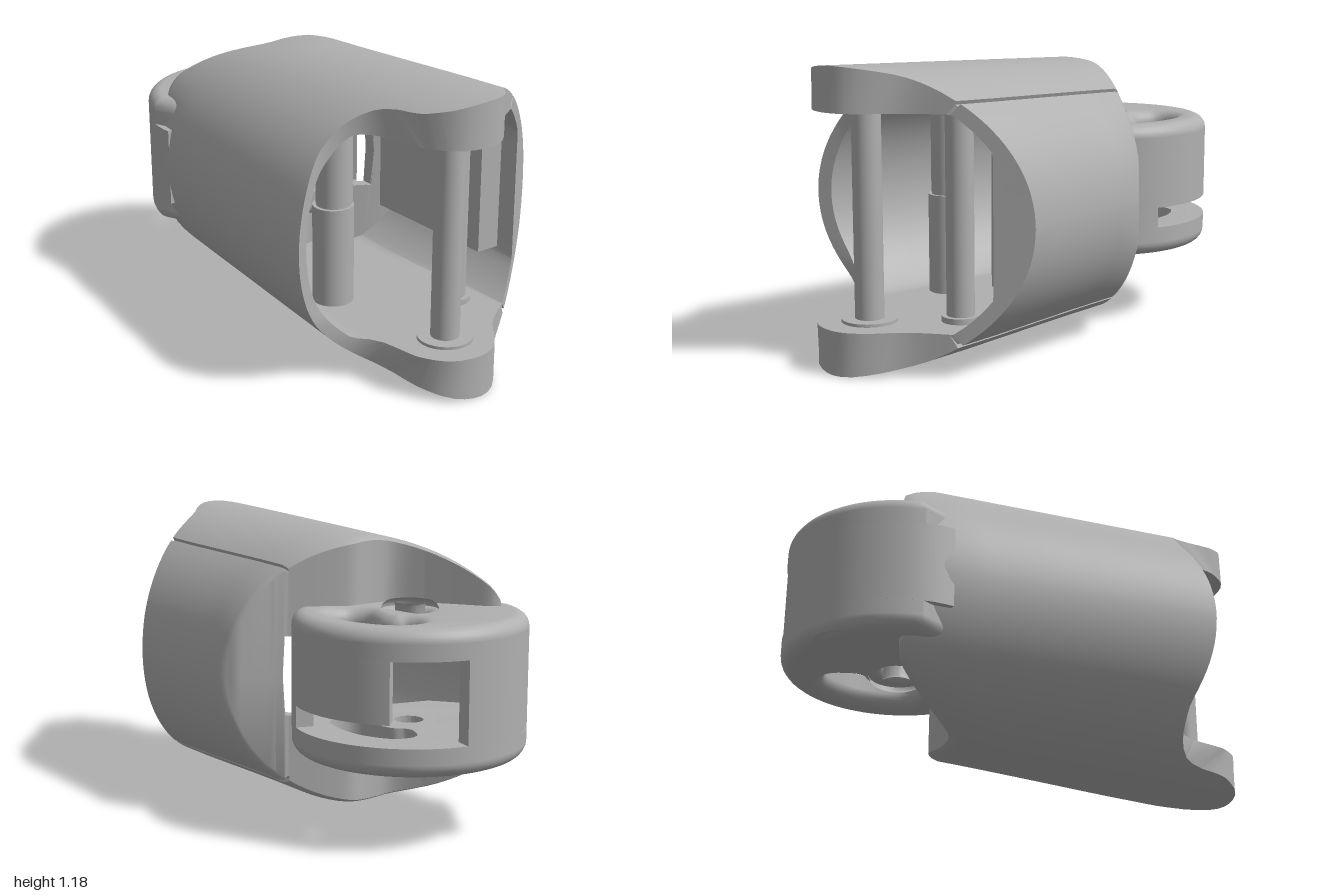
import * as THREE from 'three';
import { toCreasedNormals } from 'three/addons/utils/BufferGeometryUtils.js';

const grey = new THREE.MeshStandardMaterial({ color: 0xb0b0b0 });
grey.name = 'grey';

const MID = 0.595;                 // height of the housing axis
const HUB = { x: -0.04, z: -0.53 }; // knuckle pivot
const { clamp, lerp } = THREE.MathUtils;
const pts = list => list.map(([x, z]) => new THREE.Vector2(x, z));

// Piecewise linear lookup of z at x along a plan outline
function lookup(line, x) {
  if (x <= line[0].x) return line[0].y;
  for (let i = 1; i < line.length; i++) {
    const a = line[i - 1], b = line[i];
    if (x <= b.x) return lerp(a.y, b.y, (x - a.x) / Math.max(b.x - a.x, 1e-6));
  }
  return line[line.length - 1].y;
}

// Plan outlines that trim the tube at its front (with ear) and back
const frontLine = new THREE.SplineCurve(pts([[-0.6, 0.62], [-0.5, 0.57], [-0.45, 0.56], [-0.36, 0.585],
  [-0.28, 0.65], [-0.247, 0.74], [-0.24, 0.8], [-0.22, 0.88], [-0.15, 0.97], [-0.04, 1], [0.05, 0.975],
  [0.12, 0.91], [0.18, 0.83], [0.25, 0.77], [0.37, 0.69], [0.6, 0.53]])).getPoints(120);
const backLine = pts([[-0.53, -0.6], [-0.42, -0.66], [-0.38, -0.64], [-0.2, -0.42], [-0.13, -0.345],
  [-0.08, -0.32], [0, -0.32], [0.1, -0.335], [0.2, -0.29], [0.34, -0.22], [0.38, -0.2], [0.53, -0.14], [0.56, -0.11]]);

const radiusX = (c, z) => c > 0 ? 0.56 + 0.075 * clamp(z, 0, 0.55) : 0.545 + 0.085 * Math.min(z, 0.62);
const radiusY = z => 0.555 + 0.035 * z;

// Hollow tube: one closed lengthwise section per angle, joined all the way round
function housingGeometry() {
  const angles = [];
  for (let i = 0; i < 48; i++) angles.push(Math.PI * (i + 0.5) / 48);
  for (let x = -0.265; x < -0.19; x += 0.005) angles.push(Math.acos(x / 0.6));
  for (const x of [0.357, 0.36, 0.369, 0.372]) angles.push(Math.acos(x / 0.6)); // panel seam
  const half = [0, ...angles.sort((a, b) => a - b), Math.PI];
  const all = [...half, ...half.slice(1, -1).reverse().map(a => 2 * Math.PI - a)];
  const steps = [[0, 0.972], [0.012, 0.988], [0.035, 1], [0.2, 1], [0.4, 1], [0.6, 1], [0.8, 1], [1, 1]];

  const columns = all.map(a => {
    const c = Math.cos(a), s = Math.abs(Math.sin(a)) < 1e-6 ? 0 : Math.sin(a);
    const seam = c * 0.6 > 0.3595 && c * 0.6 < 0.3695 ? 0.975 : 1;
    const xb = c * (c > 0 ? 0.56 : 0.525), zb = lookup(backLine, xb), zf = lookup(frontLine, c * 0.6);
    const outer = steps.map(([t, k]) => {
      const z = lerp(zb, zf, t), m = k * seam;
      return [c * radiusX(c, z) * m, MID + s * radiusY(z) * m, z];
    });
    const inX = z => Math.min(c * (radiusX(c, z) - 0.05), 0.47);
    const zf2 = lookup(frontLine, inX(0.6)), zb2 = lookup(backLine, inX(zb)) + 0.06;
    const inner = [1, 0.75, 0.5, 0.25, 0].map(t => {
      const z = lerp(zb2, zf2, t);
      return [inX(z), MID + clamp(s * (radiusY(z) - 0.05), -0.415, 0.415), z];
    });
    // bulkhead that closes the back above and below the knuckle slot
    const [bx, by] = outer[0];
    const lip = bx > 0.34 ? 0 : Math.sign(s) * Math.min(0.16, Math.abs(by - MID) * 0.6);
    return [[bx, MID + lip, zb + 0.06], [bx, MID + lip, zb], ...outer, ...inner];
  });

  const n = columns[0].length, index = [];
  columns.forEach((_, i) => {
    const k = (i + 1) % columns.length;
    for (let j = 0; j < n; j++) {
      const m = (j + 1) % n;
      const a = i * n + j, b = k * n + j, d = k * n + m, e = i * n + m;
      index.push(a, b, d, a, d, e);
    }
  });
  const geo = new THREE.BufferGeometry();
  geo.setAttribute('position', new THREE.Float32BufferAttribute(columns.flat(2), 3));
  geo.setIndex(index);
  return toCreasedNormals(geo, 0.55);
}

// Extrudes a plan shape (drawn as x, -z) upward from y0 to y1
function slab(shape, y0, y1, bevel = 0) {
  const geo = new THREE.ExtrudeGeometry(shape, {
    depth: Math.max(y1 - y0 - 2 * bevel, 0.001), curveSegments: 40, bevelEnabled: bevel > 0,
    bevelThickness: bevel, bevelSize: bevel, bevelOffset: -bevel, bevelSegments: 6,
  });
  geo.translate(0, 0, bevel);
  geo.rotateX(-Math.PI / 2);
  geo.translate(0, y0, 0);
  return toCreasedNormals(geo, 0.6);
}

const rad = THREE.MathUtils.degToRad;
const onRim = (r, deg) => new THREE.Vector2(HUB.x + r * Math.cos(rad(deg)), -HUB.z + r * Math.sin(rad(deg)));

function circleHole(x, z, r) {
  return new THREE.Path().absarc(x, -z, r, 0, Math.PI * 2, true);
}

// Knuckle plate outline with pivot hole and kidney slot
function plateShape(extraHole) {
  const outline = [];
  for (let d = -38; d <= 171; d += 4) outline.push(onRim(0.46, d));
  outline.push(...[[-0.43, -0.46], [-0.3, -0.31], [-0.1, -0.27], [0.28, -0.2]].map(([x, z]) => new THREE.Vector2(x, -z)));
  const shape = new THREE.Shape(outline);
  const kidney = new THREE.SplineCurve([[0.05, -0.68], [0.08, -0.75], [0.13, -0.77], [0.2, -0.74], [0.255, -0.64],
    [0.27, -0.53], [0.25, -0.41], [0.2, -0.365], [0.13, -0.37], [0.09, -0.42], [0.1, -0.48], [0.112, -0.55],
    [0.095, -0.615], [0.06, -0.645], [0.05, -0.68]].map(([x, z]) => new THREE.Vector2(x, -z)));
  shape.holes.push(circleHole(HUB.x, HUB.z, 0.058), new THREE.Path(kidney.getPoints(56)));
  if (extraHole) shape.holes.push(circleHole(-0.245, -0.84, 0.045));
  return shape;
}

// Section of the knuckle's curved outer wall
function rimShape(from, to) {
  const out = [], inn = [], n = Math.ceil((to - from) / 4);
  for (let i = 0; i <= n; i++) {
    const d = lerp(from, to, i / n);
    out.push(onRim(0.46, d));
    inn.unshift(onRim(0.39, d));
  }
  return new THREE.Shape([...out, ...inn]);
}

export function createModel() {
  const model = new THREE.Group();
  model.name = 'jointSegment';
  const add = (name, geo, x = 0, y = 0, z = 0, parent = model) => {
    const mesh = new THREE.Mesh(geo, grey);
    mesh.name = name;
    mesh.position.set(x, y, z);
    parent.add(mesh);
    return mesh;
  };
  const rod = (name, x, z, r, y0, y1) =>
    add(name, new THREE.CylinderGeometry(r, r, y1 - y0, 40), x, (y0 + y1) / 2, z);

  add('housing', housingGeometry());
  add('sidePanelBacking', new THREE.BoxGeometry(0.11, 0.51, 0.66), 0.42, MID, 0.2);

  // Knuckle: two rounded plates joined by a partly open rim
  const knuckle = new THREE.Group();
  knuckle.name = 'knuckle';
  model.add(knuckle);
  const part = (name, geo) => add(name, geo, 0, 0, 0, knuckle);
  const upper = plateShape(false), lower = plateShape(true);
  part('upperPlate', slab(upper, 0.755, 0.873, 0.055));
  part('upperPlateBase', slab(upper, 0.755, 0.815));
  part('lowerPlate', slab(lower, 0.317, 0.435, 0.055));
  part('lowerPlateBase', slab(lower, 0.375, 0.435));
  part('rimLeftWall', slab(rimShape(82, 185), 0.43, 0.76));
  part('rimRightWall', slab(rimShape(-38, 45), 0.52, 0.76));
  part('rimRightFoot', slab(rimShape(-38, -16), 0.43, 0.525));

  // Raised collars round the pivot hole
  const collar = pts([[0.058, -0.1], [0.058, 0.025], [0.066, 0.035], [0.09, 0.035], [0.105, 0.025], [0.113, 0.008],
    [0.113, -0.1], [0.058, -0.1]]);
  const collarGeo = toCreasedNormals(new THREE.LatheGeometry(collar, 48), 0.7);
  add('upperCollar', collarGeo, HUB.x, 0.87, HUB.z, knuckle);
  add('lowerCollar', collarGeo, HUB.x, 0.32, HUB.z, knuckle).rotation.x = Math.PI;

  // Cross pins between the ears, with washers
  rod('frontPin', -0.04, 0.8, 0.057, 0.17, 1.02);
  rod('frontPinWasher', -0.04, 0.8, 0.11, 0.17, 0.192);
  rod('frontPinUpperWasher', -0.04, 0.8, 0.11, 1.0, 1.02);
  rod('rearPin', 0.21, 0.55, 0.055, 0.17, 1.02);
  rod('rearPinLowerWasher', 0.21, 0.55, 0.075, 0.17, 0.203);
  rod('rearPinUpperWasher', 0.21, 0.55, 0.075, 0.987, 1.02);

  // Screw pillars inside the housing
  rod('upperPillar', -0.175, 0.26, 0.075, 0.605, 1.03);
  rod('lowerPillar', -0.18, 0.26, 0.084, 0.16, 0.595);
  rod('pillarJoint', -0.178, 0.26, 0.07, 0.58, 0.62);
  return model;
}
